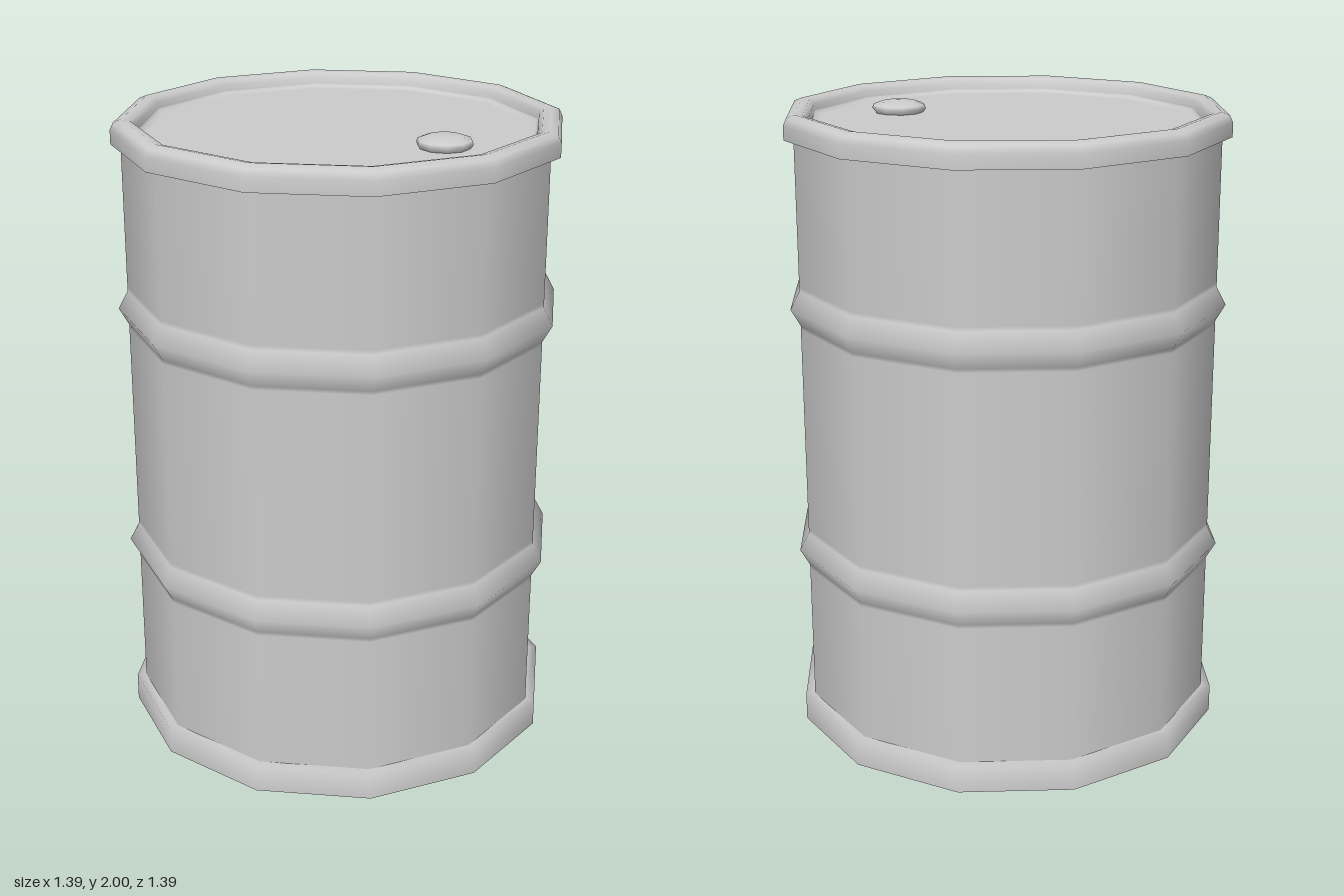
import * as THREE from 'three';

const SIDES = 12;
const BODY_R = 0.665;
const RIM_R = 0.695;

export function createModel() {
  const group = new THREE.Group();
  const material = new THREE.MeshStandardMaterial({ color: 0xcccccc });

  // Turns a profile of [radius, height] points around the y axis
  function turn(name, profile, sides = SIDES) {
    const points = profile.map(([r, y]) => new THREE.Vector2(r, y));
    const mesh = new THREE.Mesh(new THREE.LatheGeometry(points, sides), material);
    mesh.name = name;
    group.add(mesh);
    return mesh;
  }

  // Body wall with two pressed hoops, each kept tight by a supporting ring
  const hoop = (y) => [
    [BODY_R, y - 0.066], [BODY_R, y - 0.054], [RIM_R, y], [BODY_R, y + 0.056], [BODY_R, y + 0.07],
  ];
  turn('body', [[BODY_R, 0.08], ...hoop(0.605), ...hoop(1.405), [BODY_R, 1.93]]);

  // Base plate and bottom rim
  turn('base', [[0, 0], [RIM_R, 0]]);
  turn('bottomRim', [[RIM_R, 0], [RIM_R, 0.088], [BODY_R - 0.005, 0.088]]);

  // Rolled top rim, with its flat underside kept sharp
  turn('topRimUnderside', [[BODY_R - 0.005, 1.925], [RIM_R, 1.925]]);
  turn('topRim', [
    [RIM_R, 1.925], [RIM_R, 1.968], [0.685, 1.99], [0.66, 2], [0.635, 1.995], [0.621, 1.98], [0.615, 1.95],
  ]);

  // Sunken lid with a soft fillet against the rim
  turn('lid', [[0.62, 1.965], [0.612, 1.953], [0.595, 1.95], [0, 1.95]]);

  // Domed filler cap
  const cap = turn('fillerCap', [
    [0.075, 1.948], [0.086, 1.962], [0.082, 1.974], [0.055, 1.984], [0, 1.988],
  ], 10);
  cap.position.set(0.098, 0, 0.373);

  return group;
}
